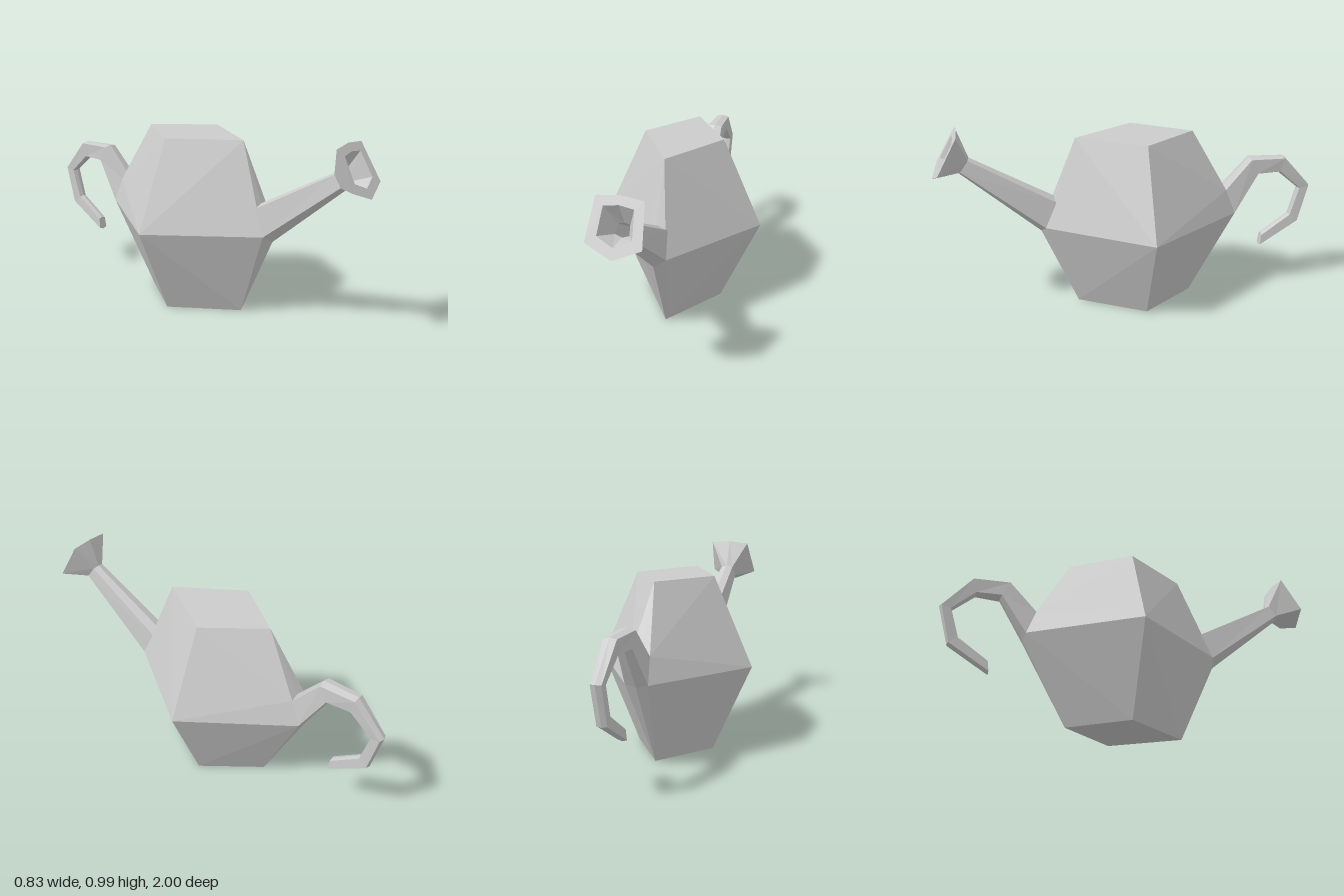
import * as THREE from 'three';
import { ConvexGeometry } from 'three/addons/geometries/ConvexGeometry.js';

const material = new THREE.MeshStandardMaterial({ color: 0xcccccc, flatShading: true });
const V = (x, y, z) => new THREE.Vector3(x, y, z);

// Six-sided section: upper pair, lower pair, and ridge points pushed out at top and bottom.
function section(upperW, upperY, upperZ, lowerW, lowerY, lowerZ, ridge = 0.01, keel = 0.01) {
  const up = V(0, upperY - lowerY, upperZ - lowerZ).normalize();
  return [
    V(0, upperY, upperZ).addScaledVector(up, ridge),
    V(upperW, upperY, upperZ),
    V(lowerW, lowerY, lowerZ),
    V(0, lowerY, lowerZ).addScaledVector(up, -keel),
    V(-lowerW, lowerY, lowerZ),
    V(-upperW, upperY, upperZ),
  ];
}

// Skin a row of sections, optionally closing the first one.
function loft(rings, capStart) {
  const points = [];
  for (let r = 0; r < rings.length - 1; r++) {
    const p = rings[r], q = rings[r + 1];
    for (let i = 0; i < p.length; i++) {
      const j = (i + 1) % p.length;
      points.push(p[i], q[i], q[j], p[i], q[j], p[j]);
    }
  }
  if (capStart) {
    const p = rings[0];
    for (let i = 1; i < p.length - 1; i++) points.push(p[0], p[i], p[i + 1]);
  }
  const geometry = new THREE.BufferGeometry().setFromPoints(points);
  geometry.computeVertexNormals();
  return geometry;
}

export function createModel() {
  const group = new THREE.Group();
  const add = (name, geometry) => {
    const mesh = new THREE.Mesh(geometry, material);
    mesh.name = name;
    group.add(mesh);
  };

  const spoutBase = section(0.05, 0.59, 0.385, 0.06, 0.46, 0.45, 0.015, 0.04);
  const handleBase = section(0.05, 0.59, -0.515, 0.06, 0.46, -0.565, 0.01, 0.015);

  // Body: diamond floor and lid, wide waist with corners cut by spout and handle
  const bodyPoints = [...spoutBase, ...handleBase];
  for (const y of [0, 0.915]) {
    bodyPoints.push(V(0.21, y, -0.05), V(-0.21, y, -0.05), V(0, y, 0.28), V(0, y, -0.335));
  }
  bodyPoints.push(V(0.415, 0.46, -0.05), V(-0.415, 0.46, -0.05));
  add('body', new ConvexGeometry(bodyPoints));

  // Spout: tapered tube, flared mouth, rim, then back down inside
  add('spout', loft([
    spoutBase,
    section(0.033, 0.84, 0.82, 0.04, 0.785, 0.86, 0.01, 0.017),
    section(0.11, 0.98, 0.87, 0.13, 0.80, 0.97, 0.012, 0.06),
    section(0.07, 0.945, 0.89, 0.08, 0.83, 0.953, 0.01, 0.04),
    section(0.028, 0.838, 0.832, 0.033, 0.80, 0.86, 0.008, 0.012),
    section(0.03, 0.57, 0.39, 0.035, 0.50, 0.43),
  ], false));

  // Handle: hooked bar, from the free tip up and over to the body
  add('handle', loft([
    section(0.025, 0.243, -0.733, 0.022, 0.298, -0.74, 0.008, 0.007),
    section(0.026, 0.37, -0.94, 0.022, 0.405, -0.897, 0.007, 0.007),
    section(0.028, 0.57, -0.99, 0.025, 0.56, -0.942, 0.01, 0.007),
    section(0.034, 0.738, -0.842, 0.03, 0.665, -0.823, 0.008, 0.01),
    section(0.04, 0.743, -0.655, 0.04, 0.665, -0.695, 0.01, 0.01),
    handleBase,
  ], true));

  return group;
}
